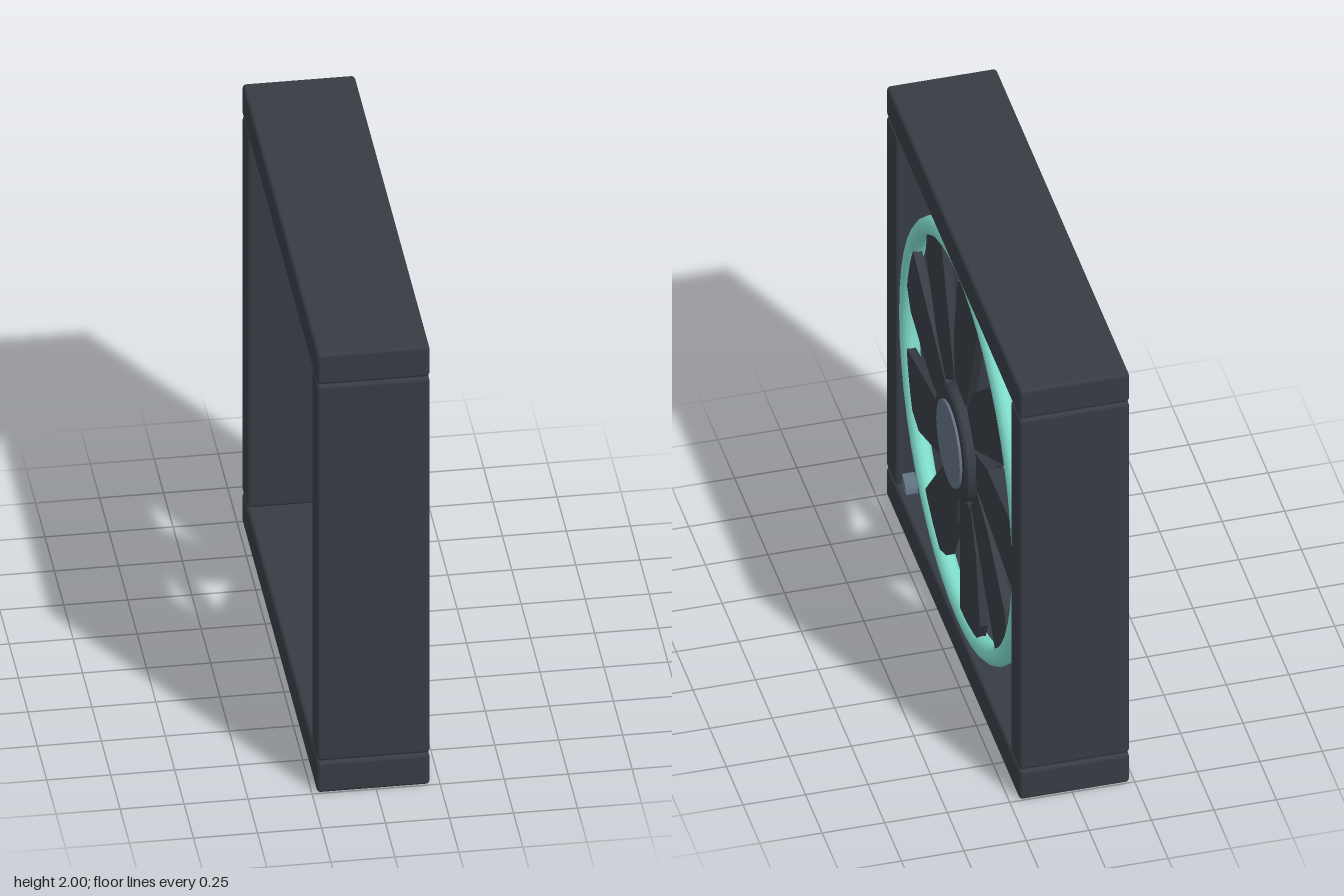
import * as THREE from 'three';
import { toCreasedNormals } from 'three/addons/utils/BufferGeometryUtils.js';
import { RoundedBoxGeometry } from 'three/addons/geometries/RoundedBoxGeometry.js';

const mat = (name, color) => new THREE.MeshStandardMaterial({ name, color });

export function createModel() {
  const charcoal = mat('charcoal', 0x363c43);
  const slate = mat('slate', 0x617080);
  const mint = mat('mint', 0x7fdccb);

  const model = new THREE.Group();
  model.name = 'fan';

  const add = (parent, name, geometry, material, x, y, z) => {
    const mesh = new THREE.Mesh(geometry, material);
    mesh.name = name;
    mesh.position.set(x, y, z);
    parent.add(mesh);
    return mesh;
  };

  // Square housing: two slabs and two posts
  const slab = new RoundedBoxGeometry(0.44, 0.14, 2, 3, 0.015);
  const post = new RoundedBoxGeometry(0.44, 1.712, 0.14, 3, 0.015);
  add(model, 'topSlab', slab, charcoal, -0.01, 1.93, 0);
  add(model, 'bottomSlab', slab, charcoal, -0.01, 0.07, 0);
  for (const s of [1, -1]) {
    add(model, s > 0 ? 'frontPost' : 'backPost', post, charcoal, -0.01, 1, s * 0.93);
  }

  // Everything round is built facing local +z, then turned to face +x
  const rotor = new THREE.Group();
  rotor.name = 'rotor';
  rotor.position.y = 1;
  rotor.rotation.y = Math.PI / 2;
  model.add(rotor);

  // Glowing ring
  add(rotor, 'ring', new THREE.TorusGeometry(0.845, 0.04, 12, 48), mint, 0, 0, 0.16);

  // Hub with chamfered rims, and its cap
  const hubProfile = [[0, 0.11], [0.225, 0.11], [0.235, 0.12], [0.235, 0.21], [0.225, 0.22], [0, 0.22]]
    .map(([r, h]) => new THREE.Vector2(r, h));
  const hub = toCreasedNormals(new THREE.LatheGeometry(hubProfile, 32), 0.5);
  hub.rotateX(Math.PI / 2);
  add(rotor, 'hub', hub, charcoal, 0, 0, 0);
  const cap = new THREE.CylinderGeometry(0.177, 0.177, 0.02, 32).rotateX(Math.PI / 2);
  add(rotor, 'hubCap', cap, slate, 0, 0, 0.22);

  // Nine swept blades
  const outline = [[0.25, 0], [0.82, 0], [0.79, 0.235], [0.765, 0.255], [0.68, 0.297], [0.375, 0.237], [0.211, 0.157]];
  const blade = new THREE.ExtrudeGeometry(
    new THREE.Shape(outline.map(([u, v]) => new THREE.Vector2(u, v))),
    { depth: 0.035, bevelEnabled: false }
  );
  for (let i = 0; i < 9; i++) {
    const b = add(rotor, 'blade' + (i + 1), blade, charcoal, 0, 0, 0.147);
    b.rotation.z = -Math.PI / 2 + (i * Math.PI * 2) / 9;
  }

  // Corner studs half sunk into the housing
  const stud = new THREE.CylinderGeometry(0.06, 0.06, 0.05, 20).rotateX(Math.PI / 2);
  for (const sx of [1, -1]) {
    for (const sy of [1, -1]) add(rotor, 'cornerStud', stud, slate, sx * 0.86, sy * 0.86, 0.16);
  }

  return model;
}
